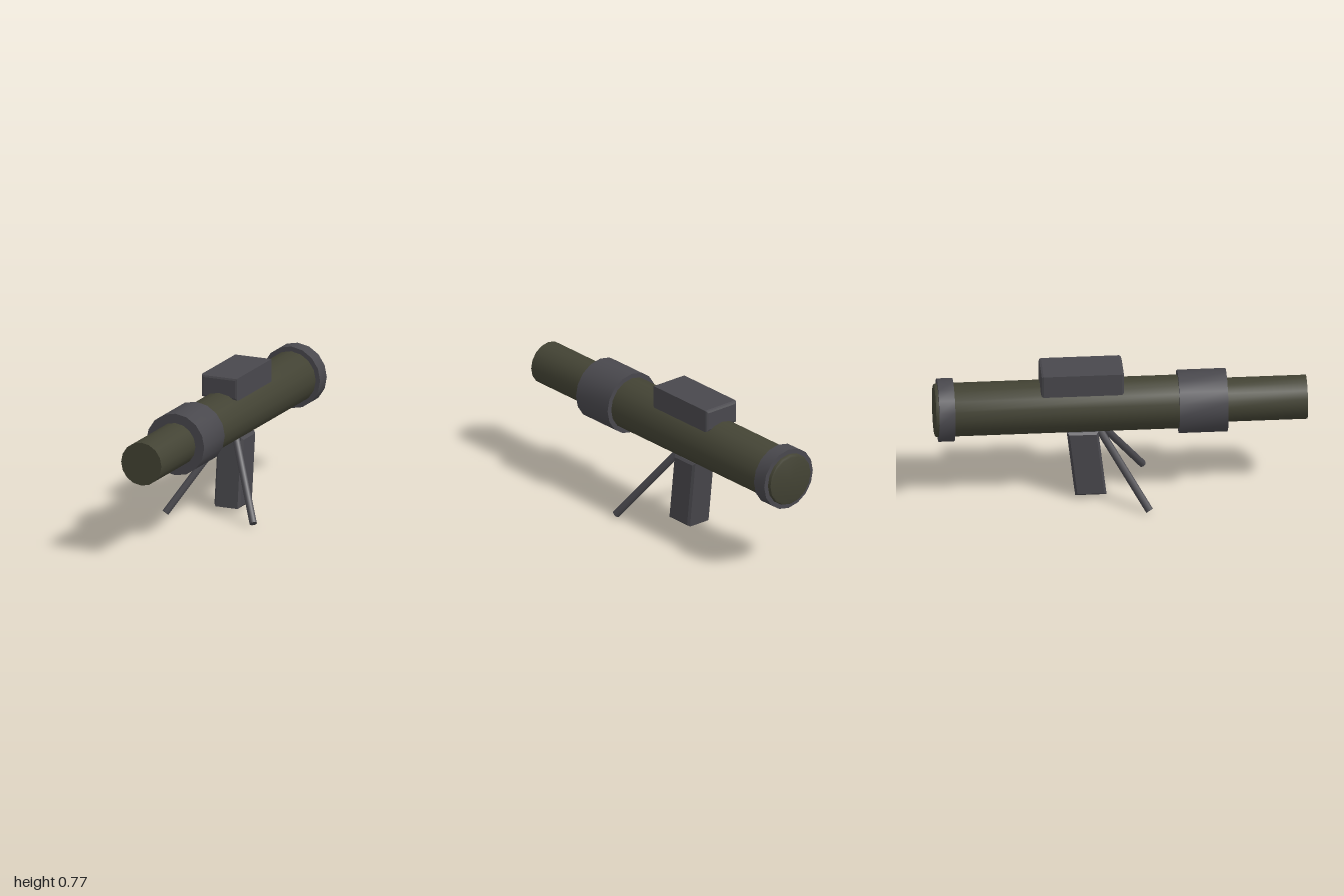
import * as THREE from 'three';
import { toCreasedNormals } from 'three/addons/utils/BufferGeometryUtils.js';

const AXIS_Y = 0.534;
const SIDES = 16;

export function createModel() {
  const model = new THREE.Group();
  model.name = 'launcher';

  const olive = new THREE.MeshStandardMaterial({ color: 0x434334 });
  olive.name = 'olive';
  const gunmetal = new THREE.MeshStandardMaterial({ color: 0x49484d });
  gunmetal.name = 'gunmetal';

  const add = (name, geometry, material) => {
    const mesh = new THREE.Mesh(geometry, material);
    mesh.name = name;
    model.add(mesh);
    return mesh;
  };

  // Solid of revolution along z from [radius, z] points, listed back to front
  const turned = (name, points, material) => {
    const profile = points.map(([r, z]) => new THREE.Vector2(r, -z)).reverse();
    const geometry = new THREE.LatheGeometry(profile, SIDES);
    geometry.rotateX(-Math.PI / 2);
    const mesh = add(name, toCreasedNormals(geometry, 0.6), material);
    mesh.position.y = AXIS_Y;
  };
  const drum = (name, r, back, front, material) =>
    turned(name, [[0, back], [r, back], [r, front], [0, front]], material);

  // Tubes and collars
  drum('frontTube', 0.119, 0.4, 1, olive);
  turned('mainTube', [[0, -1], [0.13, -1], [0.141, -0.996], [0.145, -0.985], [0.145, 0.4], [0, 0.4]], olive);
  drum('frontSleeve', 0.171, 0.31, 0.57, gunmetal);
  drum('rearRing', 0.171, -0.98, -0.895, gunmetal);

  // Extrusion centred on its depth, with bevelled ends of the given total depth
  const bevelled = (points, depth, bevel, segments) => {
    const shape = new THREE.Shape(points.map(([x, y]) => new THREE.Vector2(x, y)));
    const geometry = new THREE.ExtrudeGeometry(shape, {
      depth: depth - 2 * bevel, bevelEnabled: true, bevelThickness: bevel,
      bevelSize: bevel, bevelOffset: -bevel, bevelSegments: segments,
    });
    return geometry.translate(0, 0, bevel - depth / 2);
  };

  // Sight housing on top
  const sight = add('sightHousing', bevelled(
    [[-0.107, 0.645], [0.107, 0.645], [0.107, 0.77], [-0.107, 0.77]], 0.446, 0.014, 2), gunmetal);
  sight.position.z = -0.208;

  // Leaning grip, drawn in side profile as [-z, y]
  const grip = bevelled(
    [[0.077, 0.018], [0.245, 0.018], [0.289, 0.402], [0.121, 0.402]], 0.153, 0.012, 1);
  add('grip', grip.rotateY(Math.PI / 2), gunmetal);

  // Splayed bipod legs
  for (const side of [1, -1]) {
    const top = new THREE.Vector3(side * 0.028, 0.42, -0.126);
    const foot = new THREE.Vector3(side * 0.259, 0.015, 0.139);
    const leg = add(side > 0 ? 'leftLeg' : 'rightLeg',
      new THREE.CylinderGeometry(0.021, 0.021, top.distanceTo(foot), 8), gunmetal);
    leg.position.addVectors(top, foot).multiplyScalar(0.5);
    leg.quaternion.setFromUnitVectors(new THREE.Vector3(0, 1, 0), top.clone().sub(foot).normalize());
  }

  return model;
}
